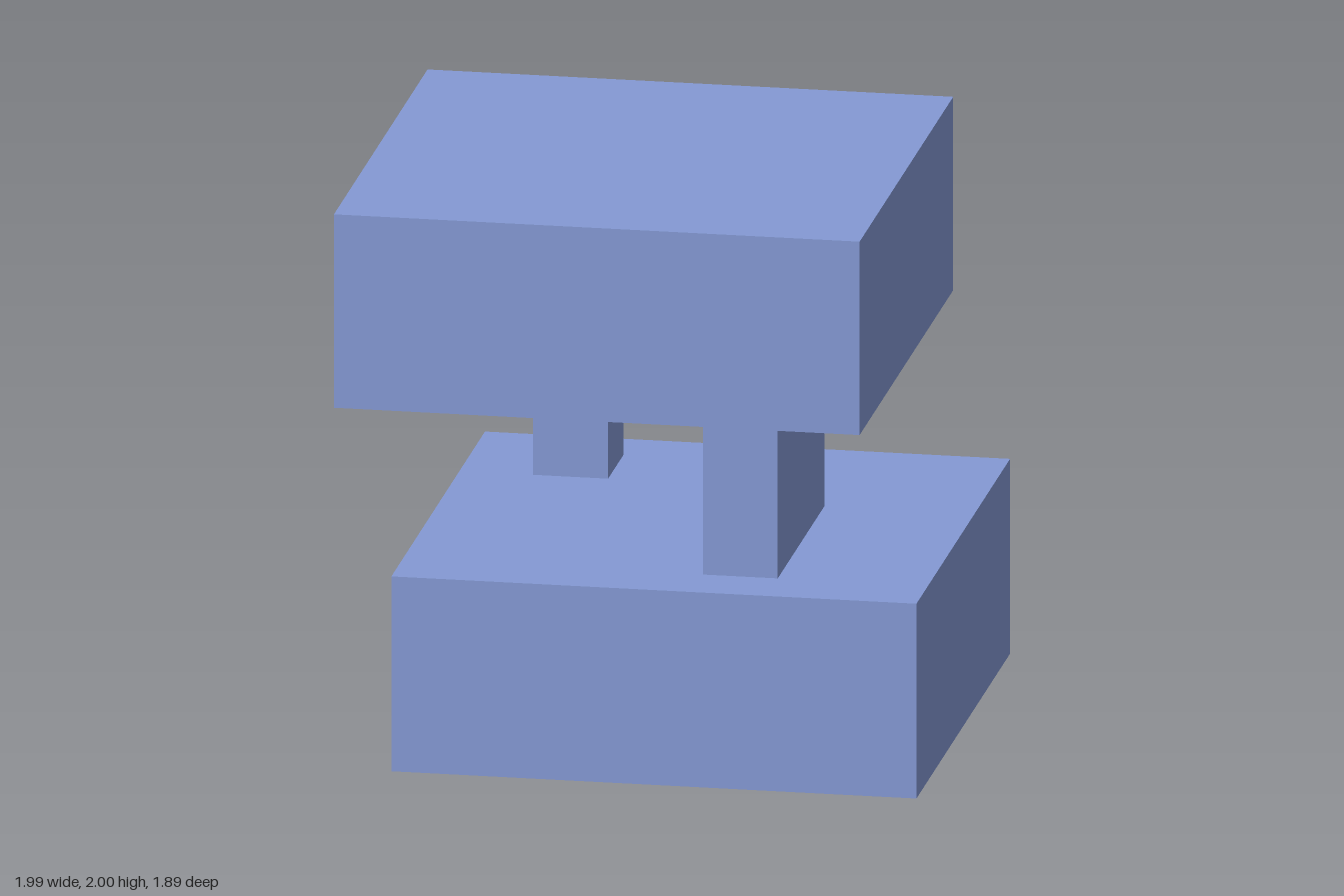
import * as THREE from 'three';

const material = new THREE.MeshStandardMaterial({ color: 0x8499d4 });

// Box spanning the given [min, max] ranges
function block(name, x, y, z) {
  const size = [x, y, z].map(([a, b]) => b - a);
  const centre = [x, y, z].map(([a, b]) => (a + b) / 2);
  const mesh = new THREE.Mesh(new THREE.BoxGeometry(...size), material);
  mesh.name = name;
  mesh.position.set(...centre);
  return mesh;
}

export function createModel() {
  const group = new THREE.Group();
  group.name = 'offsetBlocks';
  const gap = [0.69, 1.315];

  group.add(
    // Two thick slabs, shifted diagonally against each other
    block('lowerSlab', [-0.82, 0.993], [0, gap[0]], [-0.945, 0.818]),
    block('upperSlab', [-0.995, 0.82], [gap[1], 2], [-0.818, 0.945]),
    // Supports between the slabs
    block('longSupport', [0.217, 0.475], gap, [-0.277, 0.605]),
    block('shortSupport', [-0.567, -0.307], gap, [-0.76, -0.465])
  );
  return group;
}
